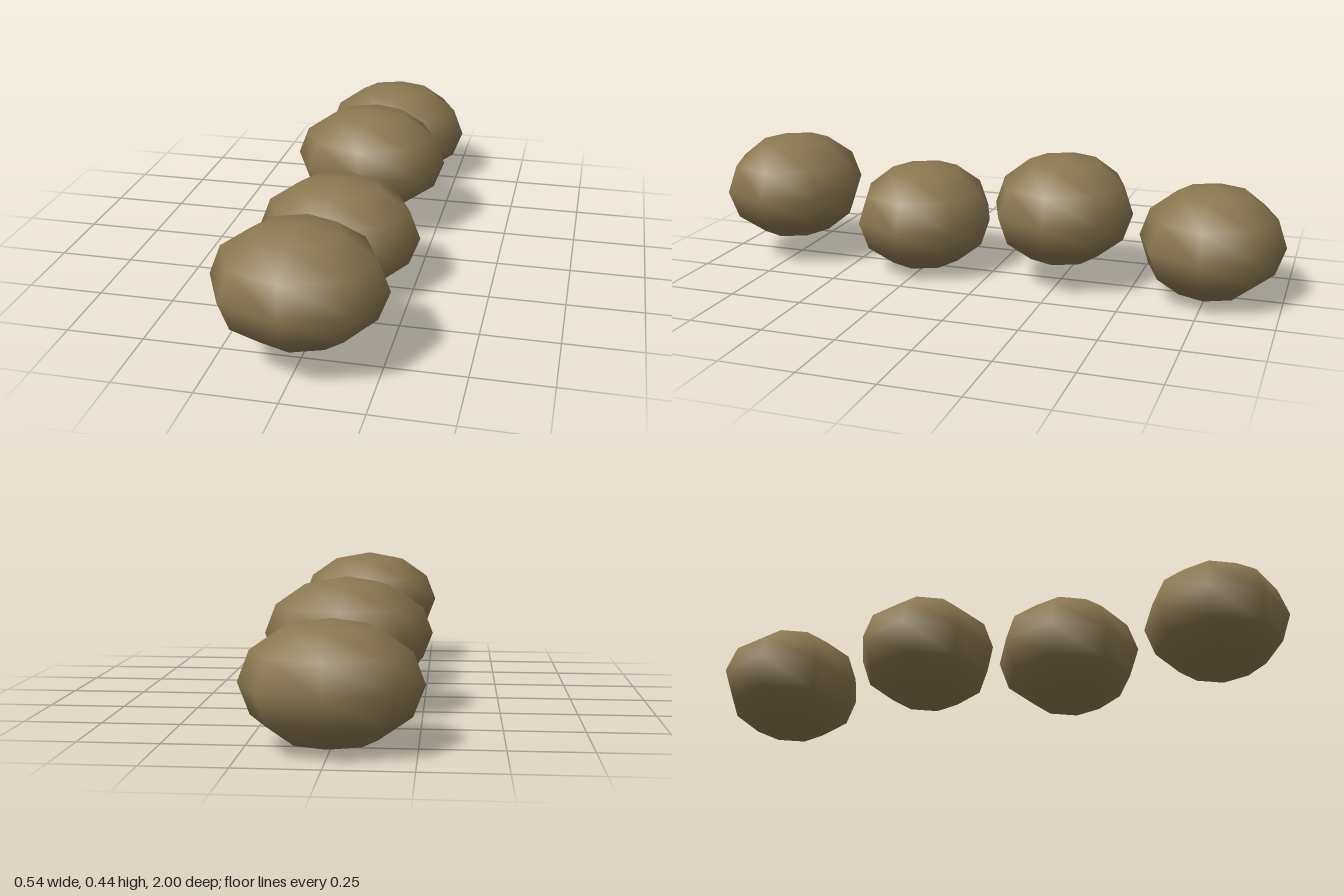
import * as THREE from 'three';

export function createModel() {
  const group = new THREE.Group();
  group.name = 'segmentChain';
  const tan = new THREE.MeshStandardMaterial({ color: 0x8b7850 });
  tan.name = 'tan';

  // one faceted ellipsoid, shared by all body segments
  const geometry = new THREE.SphereGeometry(1, 8, 6);
  geometry.scale(0.27, 0.188, 0.241);

  // segments in a row from front to back, alternately raised and lowered
  for (let i = 0; i < 4; i++) {
    const segment = new THREE.Mesh(geometry, tan);
    segment.name = `bodySegment${i + 1}`;
    segment.position.set(0, i % 2 === 0 ? 0.257 : 0.189, 0.759 - i * 0.506);
    group.add(segment);
  }
  return group;
}
